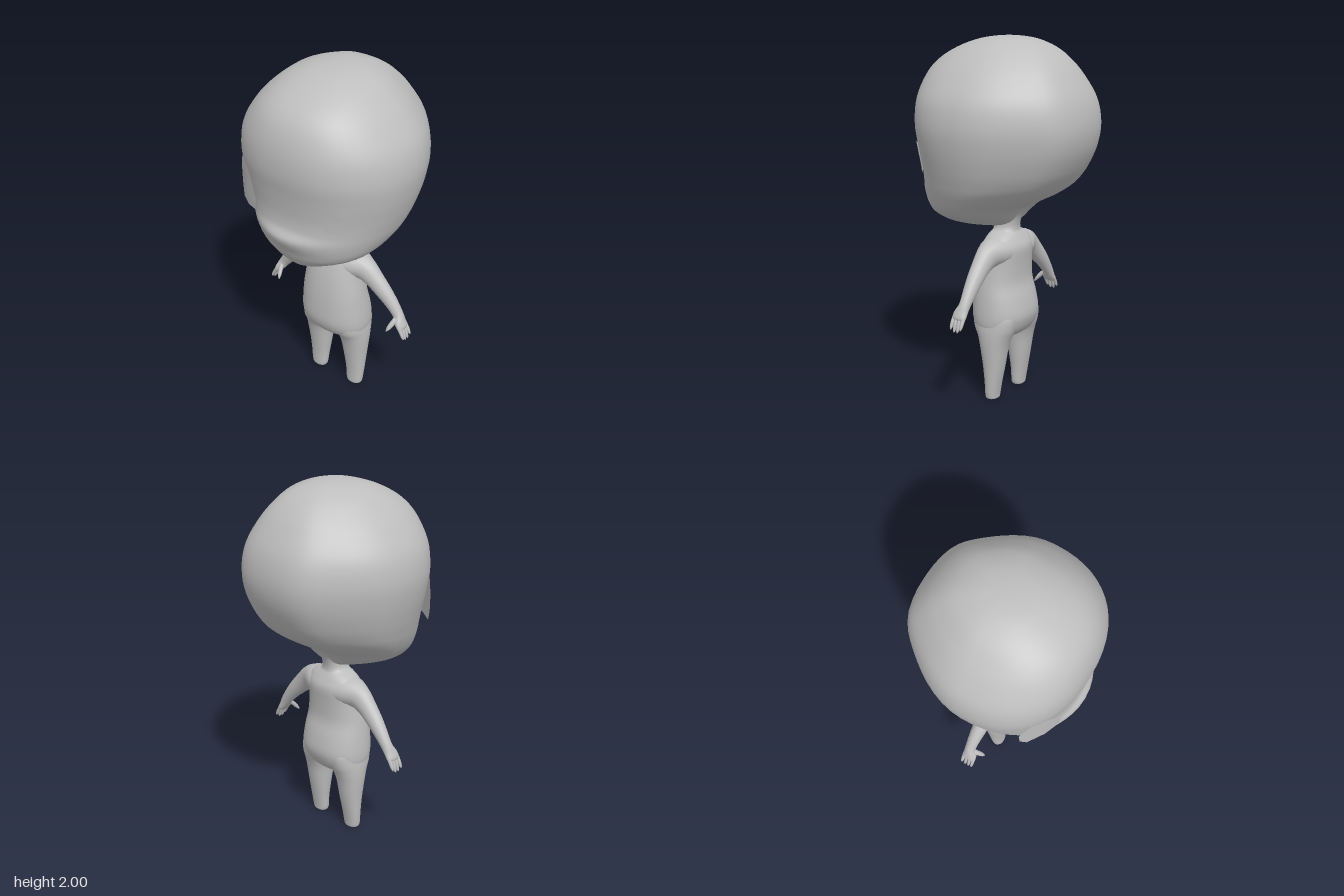
import * as THREE from 'three';

const skin = new THREE.MeshStandardMaterial({ color: 0xbebebe, side: THREE.DoubleSide });
skin.name = 'plain grey';

// Catmull-Rom interpolation of whole rows
function refine(rows, steps) {
  const out = [];
  const at = (i) => rows[Math.min(Math.max(i, 0), rows.length - 1)];
  for (let i = 0; i < rows.length - 1; i++) {
    for (let s = 0; s < steps; s++) {
      const t = s / steps;
      out.push(rows[i].map((b, k) => {
        const a = at(i - 1)[k], c = at(i + 1)[k], d = at(i + 2)[k];
        return b + 0.5 * t * (c - a + t * (2 * a - 5 * b + 4 * c - d + t * (3 * (b - c) + d - a)));
      }));
    }
  }
  out.push(rows[rows.length - 1]);
  return out;
}

// Smooth closed skin over rows of [x, y, zFront, zBack, halfWidth, zWidest];
// rings stand square to the path in the xy plane. Powers set how square the
// halves are, backShape scales the rear width, bump pushes the front forward.
function loft(name, rows, opts = {}) {
  const { segs = 24, steps = 4, power = 2, backPower = power, backShape = () => 1, bump = () => 0 } = opts;
  const rings = refine(rows.map((r) => (r.length > 5 ? r : [...r, (r[2] + r[3]) / 2])), steps);
  const pos = [], idx = [], n = rings.length;
  rings.forEach(([x, y, zf, zb, w, zc], i) => {
    const p = rings[Math.max(i - 1, 0)], q = rings[Math.min(i + 1, n - 1)];
    const len = Math.hypot(q[0] - p[0], q[1] - p[1]) || 1;
    const nx = -(q[1] - p[1]) / len, ny = (q[0] - p[0]) / len;
    for (let j = 0; j < segs; j++) {
      const a = (j / segs) * Math.PI * 2, c = Math.cos(a), s = Math.sin(a);
      const round = (v) => Math.sign(v) * Math.abs(v) ** (2 / (s > 0 ? power : backPower));
      const side = w * round(c) * (s < 0 ? backShape(-s) : 1);
      const z = zc + round(s) * (s > 0 ? zf - zc : zc - zb);
      pos.push(x + nx * side, y + ny * side, z + (s > 0 ? bump(side, y) * s : 0));
    }
  });
  for (let i = 0; i < n - 1; i++) {
    for (let j = 0; j < segs; j++) {
      const k = (j + 1) % segs, a = i * segs, b = a + segs;
      idx.push(a + j, a + k, b + k, a + j, b + k, b + j);
    }
  }
  // end caps
  [0, n - 1].forEach((i) => {
    const [x, y, zf, zb] = rings[i], centre = pos.length / 3;
    pos.push(x, y, (zf + zb) / 2);
    for (let j = 0; j < segs; j++) {
      const a = i * segs + j, b = i * segs + ((j + 1) % segs);
      idx.push(centre, i ? a : b, i ? b : a);
    }
  });
  return finish(name, pos, idx);
}

function finish(name, pos, idx) {
  const g = new THREE.BufferGeometry();
  g.setAttribute('position', new THREE.Float32BufferAttribute(pos, 3));
  g.setIndex(idx);
  g.computeVertexNormals();
  const mesh = new THREE.Mesh(g, skin);
  mesh.name = name;
  return mesh;
}

const facePower = 2.25;
const headRows = [
  [0, 0.963, 0.27, 0.15, 0.02, 0.21],
  [0, 0.973, 0.35, 0.03, 0.09, 0.19],
  [0, 1.003, 0.39, -0.04, 0.19, 0.17],
  [0, 1.055, 0.42, -0.08, 0.3, 0.14],
  [0, 1.10, 0.434, -0.13, 0.35, 0.12],
  [0, 1.15, 0.445, -0.23, 0.385, 0.08],
  [0, 1.20, 0.449, -0.31, 0.411, 0.05],
  [0, 1.25, 0.447, -0.365, 0.43, 0.035],
  [0, 1.32, 0.446, -0.415, 0.453, 0.025],
  [0, 1.43, 0.46, -0.465, 0.48, 0.02],
  [0, 1.55, 0.48, -0.482, 0.492, 0.015],
  [0, 1.68, 0.476, -0.457, 0.467, 0.01],
  [0, 1.80, 0.44, -0.39, 0.39, 0.01],
  [0, 1.88, 0.375, -0.325, 0.315, 0.01],
  [0, 1.94, 0.275, -0.25, 0.24, 0],
  [0, 1.98, 0.165, -0.16, 0.15, 0],
  [0, 1.996, 0.075, -0.075, 0.07, 0],
  [0, 2.0, 0.005, -0.005, 0.005, 0],
];

// Height of the face surface above the z = 0 plane
function faceZ(x, y) {
  const i = headRows.findIndex((r) => r[1] > y);
  const a = headRows[i - 1], b = headRows[i], t = (y - a[1]) / (b[1] - a[1]);
  const [, , zf, , w, zc] = a.map((v, k) => v + (b[k] - v) * t);
  return zc + (zf - zc) * Math.max(0, 1 - Math.abs(x / w) ** facePower) ** (1 / facePower);
}

// Thin eye plate: outline, half-size ring and centre follow a depth rule
function eye(name, outline, depth) {
  const n = outline.length, pos = [], idx = [];
  const cx = outline.reduce((s, p) => s + p[0], 0) / n;
  const cy = outline.reduce((s, p) => s + p[1], 0) / n;
  for (const f of [1, 0.5, 0]) {
    for (const [px, py] of outline) {
      const x = cx + (px - cx) * f, y = cy + (py - cy) * f;
      pos.push(x, y, depth(x, y));
    }
  }
  for (let r = 0; r < 2; r++) {
    for (let j = 0; j < n; j++) {
      const k = (j + 1) % n, a = r * n, b = a + n;
      idx.push(a + j, a + k, b + j);
      if (r === 0) idx.push(a + k, b + k, b + j);
    }
  }
  return finish(name, pos, idx);
}

// Arm with palm, four fingers and a thumb; s is the side
function arm(s) {
  const g = new THREE.Group();
  g.name = s > 0 ? 'leftArm' : 'rightArm';
  const part = (name, rows, opts) =>
    g.add(loft(name, rows.map(([x, ...r]) => [s * x, ...r]), opts));
  part('armAndPalm', [
    [0.06, 0.845, 0.125, -0.095, 0.085],
    [0.13, 0.848, 0.105, -0.08, 0.08],
    [0.195, 0.831, 0.076, -0.048, 0.071],
    [0.255, 0.788, 0.062, -0.036, 0.057],
    [0.315, 0.732, 0.052, -0.033, 0.048],
    [0.365, 0.678, 0.042, -0.03, 0.039],
    [0.41, 0.62, 0.036, -0.026, 0.031],
    [0.432, 0.585, 0.054, -0.026, 0.026],
    [0.452, 0.555, 0.054, -0.026, 0.018],
    [0.458, 0.545, 0.03, -0.005, 0.006],
  ], { segs: 20 });
  [[0.046, 0.5], [0.025, 0.488], [0.004, 0.488], [-0.016, 0.502]].forEach(([z, tip], i) => {
    part('finger' + (i + 1), [
      [0.44, 0.575, z + 0.01, z - 0.01, 0.011],
      [0.462, 0.54, z + 0.01, z - 0.01, 0.011],
      [0.476, tip + 0.012, z + 0.008, z - 0.008, 0.008],
      [0.482, tip, z + 0.002, z - 0.002, 0.002],
    ], { segs: 8, steps: 2 });
  });
  part('thumb', [
    [0.42, 0.61, 0.042, 0.01, 0.016],
    [0.408, 0.582, 0.068, 0.036, 0.015],
    [0.398, 0.557, 0.084, 0.06, 0.012],
    [0.391, 0.54, 0.088, 0.08, 0.003],
  ], { segs: 8, steps: 2 });
  return g;
}

function leg(s) {
  return loft(s > 0 ? 'leftLeg' : 'rightLeg', [
    [s * 0.13, 0, 0.052, -0.006, 0.036],
    [s * 0.13, 0.006, 0.058, -0.011, 0.046],
    [s * 0.131, 0.03, 0.06, -0.014, 0.052],
    [s * 0.131, 0.1, 0.063, -0.026, 0.058],
    [s * 0.128, 0.2, 0.075, -0.045, 0.068],
    [s * 0.126, 0.3, 0.092, -0.062, 0.079],
    [s * 0.122, 0.36, 0.11, -0.08, 0.086],
    [s * 0.115, 0.41, 0.138, -0.1, 0.091],
    [s * 0.105, 0.48, 0.15, -0.11, 0.09],
    [s * 0.09, 0.54, 0.13, -0.08, 0.075],
  ], { power: 2.2 });
}

export function createModel() {
  const model = new THREE.Group();
  model.name = 'bigHeadedFigure';
  // skull with slightly flat back and a small muzzle, steeper above than below
  model.add(loft('head', headRows, {
    segs: 56,
    power: facePower,
    backPower: 2,
    backShape: (s) => 1 - 0.1 * (2 * s * s - s ** 4) + 0.4 * s ** 8,
    bump: (x, y) => 0.03 * Math.exp(-(((y - 1.185) / (y > 1.185 ? 0.035 : 0.07)) ** 2) - (x / 0.2) ** 2),
  }));

  // torso running up through the neck into the skull
  model.add(loft('torsoAndNeck', [
    [0, 0.352, 0.05, -0.04, 0.07],
    [0, 0.366, 0.105, -0.075, 0.14],
    [0, 0.39, 0.14, -0.1, 0.185],
    [0, 0.43, 0.168, -0.122, 0.204],
    [0, 0.49, 0.184, -0.135, 0.207],
    [0, 0.58, 0.182, -0.12, 0.2],
    [0, 0.67, 0.174, -0.096, 0.189],
    [0, 0.77, 0.158, -0.097, 0.176],
    [0, 0.86, 0.133, -0.102, 0.168],
    [0, 0.91, 0.108, -0.08, 0.155],
    [0, 0.937, 0.095, -0.064, 0.115],
    [0, 0.955, 0.088, -0.056, 0.075],
    [0, 0.99, 0.085, -0.058, 0.062],
    [0, 1.04, 0.08, -0.076, 0.066],
    [0, 1.1, 0.06, -0.12, 0.1],
  ], { segs: 32, power: 2.3 }));

  for (const s of [1, -1]) model.add(arm(s), leg(s));

  // left eye lies on the face, right eye stands proud of it
  model.add(eye('leftEye', [
    [0.29, 1.435], [0.25, 1.39], [0.22, 1.32], [0.24, 1.28], [0.3, 1.275],
    [0.345, 1.3], [0.37, 1.35], [0.37, 1.41], [0.35, 1.445], [0.32, 1.452],
  ], (x, y) => faceZ(x, y) + 0.009));
  model.add(eye('rightEye', [
    [-0.36, 1.5], [-0.385, 1.46], [-0.41, 1.4], [-0.405, 1.31], [-0.375, 1.245],
    [-0.29, 1.25], [-0.21, 1.265], [-0.2, 1.33], [-0.24, 1.42], [-0.285, 1.48],
  ], (x) => {
    const d = -x - 0.2;
    return 0.438 - 0.3 * d - 1.4 * d * d;
  }));
  return model;
}
